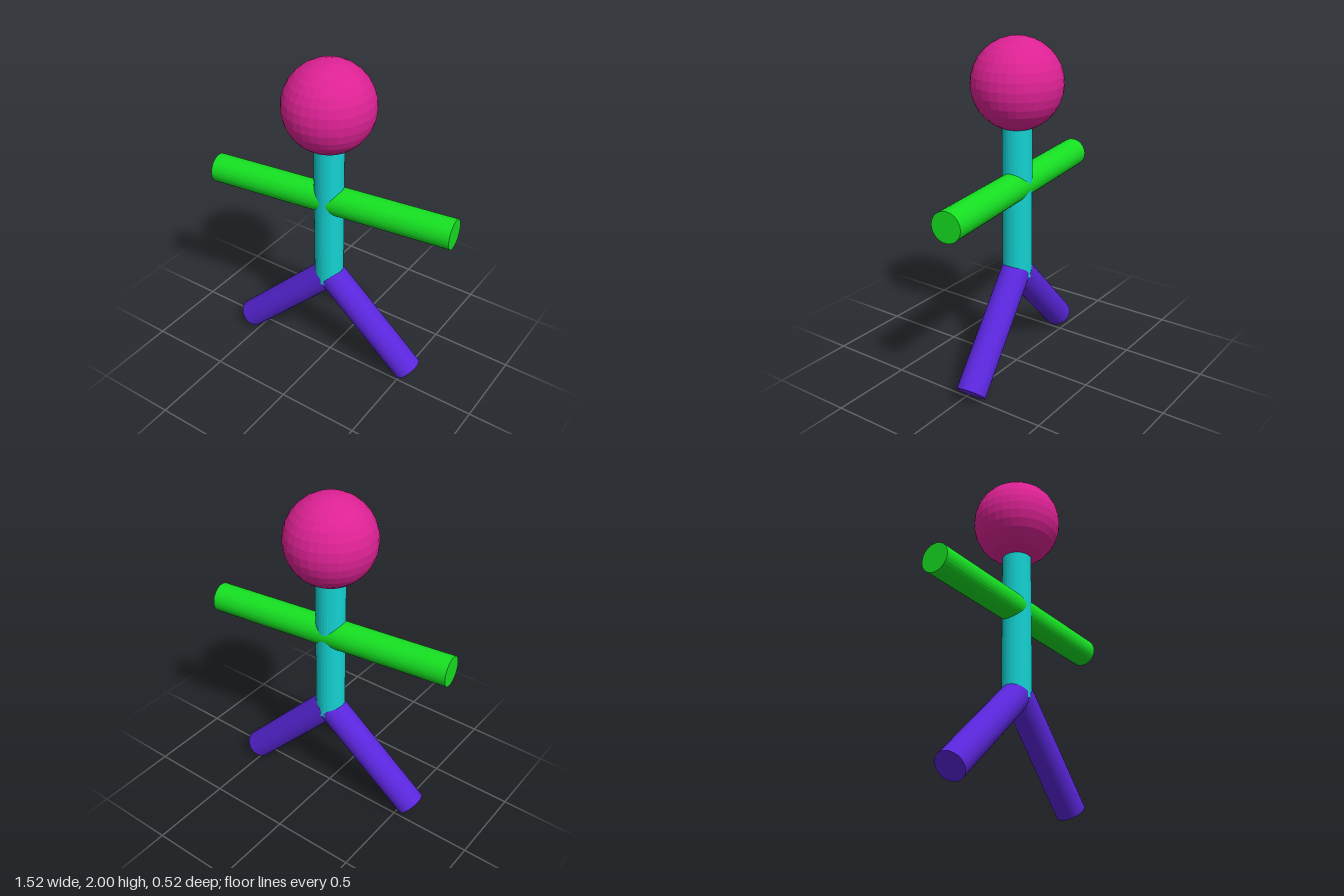
import * as THREE from 'three';

const RADIUS = 0.087;

// Smallest helper: a faceted, coloured, named mesh
function part(name, geometry, color) {
  const material = new THREE.MeshStandardMaterial({ color, flatShading: true });
  const mesh = new THREE.Mesh(geometry, material);
  mesh.name = name;
  return mesh;
}

// Closed round rod between two points
function rod(name, from, to, color) {
  const a = new THREE.Vector3(...from);
  const b = new THREE.Vector3(...to);
  const axis = b.clone().sub(a);
  const mesh = part(name, new THREE.CylinderGeometry(RADIUS, RADIUS, axis.length(), 32), color);
  mesh.position.copy(a).add(b).multiplyScalar(0.5);
  mesh.quaternion.setFromUnitVectors(new THREE.Vector3(0, 1, 0), axis.normalize());
  return mesh;
}

export function createModel() {
  const model = new THREE.Group();
  model.name = 'stickFigure';

  // Head
  const head = part('head', new THREE.SphereGeometry(0.262, 32, 16), 0xdd2294);
  head.position.set(-0.007, 1.738, 0);

  model.add(
    head,
    // Torso, reaching up into the head
    rod('torso', [-0.007, 0.585, 0], [-0.007, 1.55, 0], 0x14d2d2),
    // Both arms form one straight bar, turned slightly about the torso
    rod('arms', [-0.75, 1.15, 0.088], [0.746, 1.15, -0.094], 0x16e022),
    // Legs spread sideways and a little fore and aft
    rod('leftLeg', [0.008, 0.618, 0], [0.537, 0.065, -0.065], 0x5a26dc),
    rod('rightLeg', [-0.014, 0.612, 0], [-0.572, 0.073, 0.07], 0x5a26dc),
  );
  return model;
}
